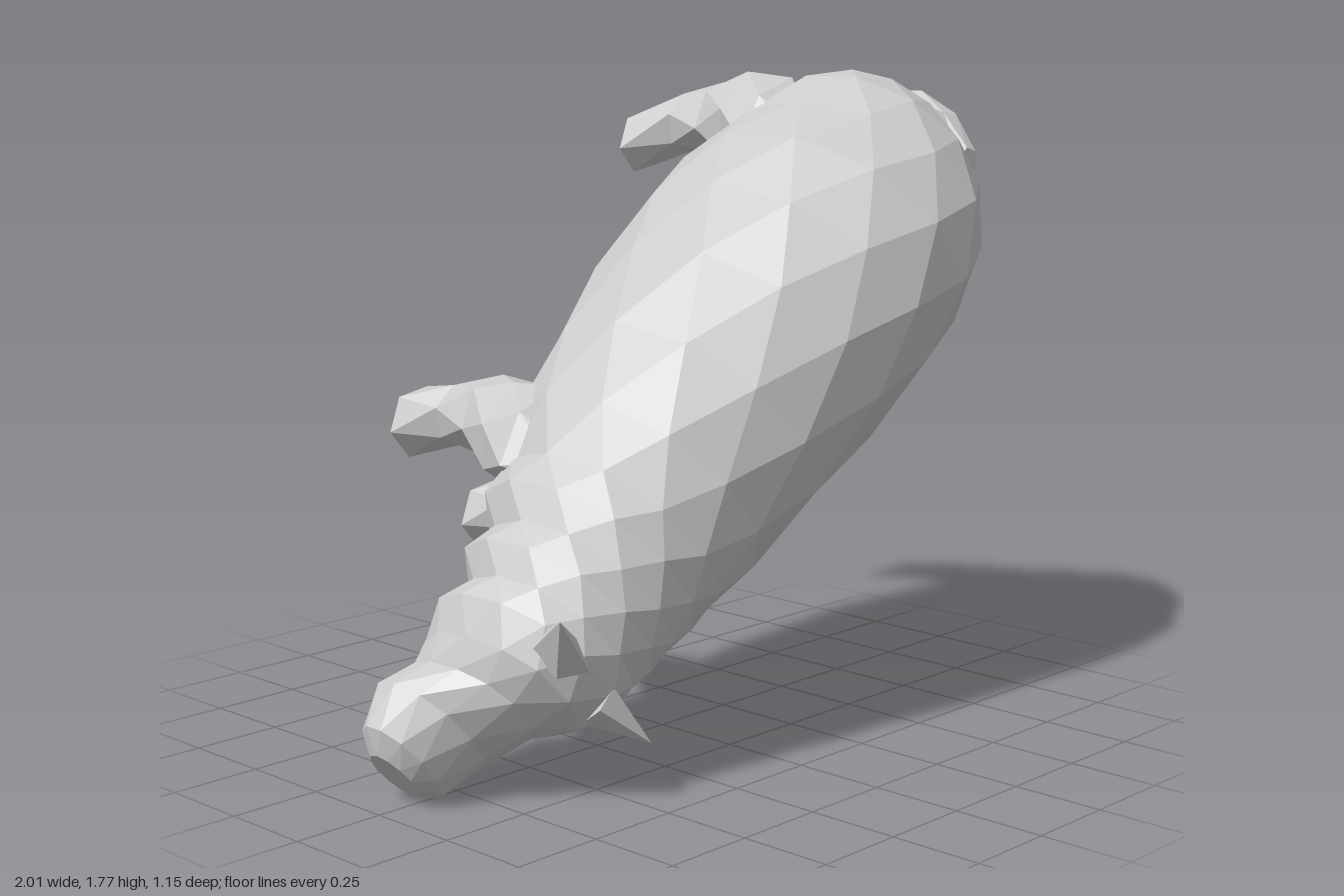
import * as THREE from 'three';

const material = new THREE.MeshStandardMaterial({ color: 0xcccccc, flatShading: true });

// Skin a closed surface over rings; odd rings are turned half a step for a faceted triangle pattern
function loft(name, rings, sides, pointAt) {
  const pos = [], index = [], n = rings.length;
  rings.forEach((ring, i) => {
    for (let j = 0; j < sides; j++) {
      const a = ((j + (i % 2) * 0.5) / sides) * Math.PI * 2;
      pos.push(...pointAt(ring, a));
    }
  });
  const id = (i, j) => i * sides + (j % sides);
  for (let i = 0; i < n - 1; i++) {
    for (let j = 0; j < sides; j++) {
      const a = id(i, j), b = id(i, j + 1), c = id(i + 1, j), d = id(i + 1, j + 1);
      if (i % 2 === 0) index.push(a, b, c, b, d, c);
      else index.push(a, b, d, a, d, c);
    }
  }
  // end caps
  for (let j = 1; j < sides - 1; j++) {
    index.push(id(0, 0), id(0, j + 1), id(0, j));
    index.push(id(n - 1, 0), id(n - 1, j), id(n - 1, j + 1));
  }
  const geo = new THREE.BufferGeometry();
  geo.setAttribute('position', new THREE.Float32BufferAttribute(pos, 3));
  geo.setIndex(index);
  const flat = geo.toNonIndexed();
  flat.computeVertexNormals();
  const mesh = new THREE.Mesh(flat, material);
  mesh.name = name;
  return mesh;
}

// Body and head: [along, half width, top, bottom, fold depth, squareness], snout to rump
const BODY = [
  [-0.665, 0.08, 0.05, -0.08, 0, 1],
  [-0.625, 0.145, 0.09, -0.12, 0, 1],
  [-0.51, 0.17, 0.14, -0.17, 0, 0.9],
  [-0.41, 0.145, 0.25, -0.13, 0, 0.8],
  [-0.34, 0.185, 0.35, -0.12, 0, 0.7],
  [-0.25, 0.23, 0.395, -0.15, 0, 0.8],
  [-0.18, 0.245, 0.4, -0.15, 0.14, 0.9],
  [-0.1, 0.265, 0.415, -0.18, 0, 1],
  [-0.03, 0.28, 0.425, -0.2, 0.14, 1],
  [0.06, 0.3, 0.435, -0.23, 0, 1],
  [0.15, 0.318, 0.45, -0.26, 0.07, 1],
  [0.31, 0.35, 0.475, -0.3, 0, 1],
  [0.54, 0.375, 0.515, -0.35, 0, 1],
  [0.8, 0.395, 0.555, -0.39, 0, 1],
  [1.03, 0.402, 0.575, -0.4, 0, 1],
  [1.24, 0.393, 0.58, -0.38, 0, 1],
  [1.43, 0.335, 0.53, -0.33, 0, 1],
  [1.58, 0.297, 0.43, -0.27, 0, 1],
  [1.68, 0.225, 0.31, -0.19, 0, 1],
  [1.735, 0.12, 0.19, -0.08, 0, 1],
];

function bodyPoint([x, w, top, bottom, fold, square], a) {
  const c = Math.cos(a), s = Math.sin(a);
  // creases deepen toward the throat
  const k = 1 - fold * Math.max(0, 0.5 - c);
  const wide = Math.sign(s) * Math.abs(s) ** square;
  return [x, (top + bottom) / 2 + ((top - bottom) / 2) * c * k, 1.02 * w * wide * k];
}

// Legs: [height, along, side, half length, half width], hip or shoulder to foot
const HIND = [
  [0.04, 1.42, 0.18, 0.06, 0.05],
  [-0.1, 1.47, 0.2, 0.16, 0.115],
  [-0.22, 1.5, 0.2, 0.155, 0.12],
  [-0.34, 1.505, 0.19, 0.12, 0.1],
  [-0.45, 1.475, 0.19, 0.09, 0.085],
  [-0.58, 1.39, 0.185, 0.092, 0.092],
];
const FRONT = [
  [0.04, 0.2, 0.2, 0.06, 0.05],
  [-0.08, 0.25, 0.215, 0.16, 0.11],
  [-0.2, 0.28, 0.21, 0.15, 0.11],
  [-0.33, 0.315, 0.2, 0.115, 0.1],
  [-0.46, 0.3, 0.19, 0.085, 0.085],
  [-0.58, 0.25, 0.195, 0.1, 0.1],
];

const legPoint = (side) => ([y, x, z, l, w], a) => [x + l * Math.cos(a), y, side * z + w * Math.sin(a)];

// Pointed, flattened ear
function ear(side) {
  const geo = new THREE.ConeGeometry(0.085, 0.17, 5);
  geo.scale(0.7, 1, 1);
  const mesh = new THREE.Mesh(geo, material);
  mesh.name = side > 0 ? 'rightEar' : 'leftEar';
  const dir = new THREE.Vector3(0.06, 0.5, side * 0.8).normalize();
  mesh.quaternion.setFromUnitVectors(new THREE.Vector3(0, 1, 0), dir);
  mesh.position.set(-0.265, 0.42, side * 0.24).addScaledVector(dir, -0.085);
  return mesh;
}

// Short broad tail lying on the rump: [height, along, half width]
const TAIL = [
  [0.42, 1.57, 0.04],
  [0.31, 1.68, 0.08],
  [0.19, 1.735, 0.1],
  [0.07, 1.745, 0.095],
  [-0.02, 1.715, 0.05],
];

export function createModel() {
  const animal = new THREE.Group();
  animal.name = 'animal';

  animal.add(loft('bodyAndHead', BODY, 12, bodyPoint));
  animal.add(loft('tail', TAIL, 6, ([y, x, w], a) => [x + 0.045 * Math.cos(a), y, w * Math.sin(a)]));

  for (const side of [-1, 1]) {
    const label = side > 0 ? 'right' : 'left';
    animal.add(loft(label + 'HindLeg', HIND, 6, legPoint(side)));
    animal.add(loft(label + 'FrontLeg', FRONT, 6, legPoint(side)));
    animal.add(ear(side));
  }

  // Lay the animal on its side plane: back toward +z, spine rising 40 degrees toward +x
  const tilt = THREE.MathUtils.degToRad(40);
  const c = Math.cos(tilt), s = Math.sin(tilt), offset = 0.675;
  animal.applyMatrix4(new THREE.Matrix4().makeBasis(
    new THREE.Vector3(c, s, 0), new THREE.Vector3(0, 0, 1), new THREE.Vector3(s, -c, 0),
  ));
  animal.position.set(-s * offset, c * offset, 0);

  const model = new THREE.Group();
  model.add(animal);

  // Stand on y = 0, centred
  const box = new THREE.Box3().setFromObject(model, true);
  const mid = box.getCenter(new THREE.Vector3());
  animal.position.sub(new THREE.Vector3(mid.x, box.min.y, mid.z));
  return model;
}
